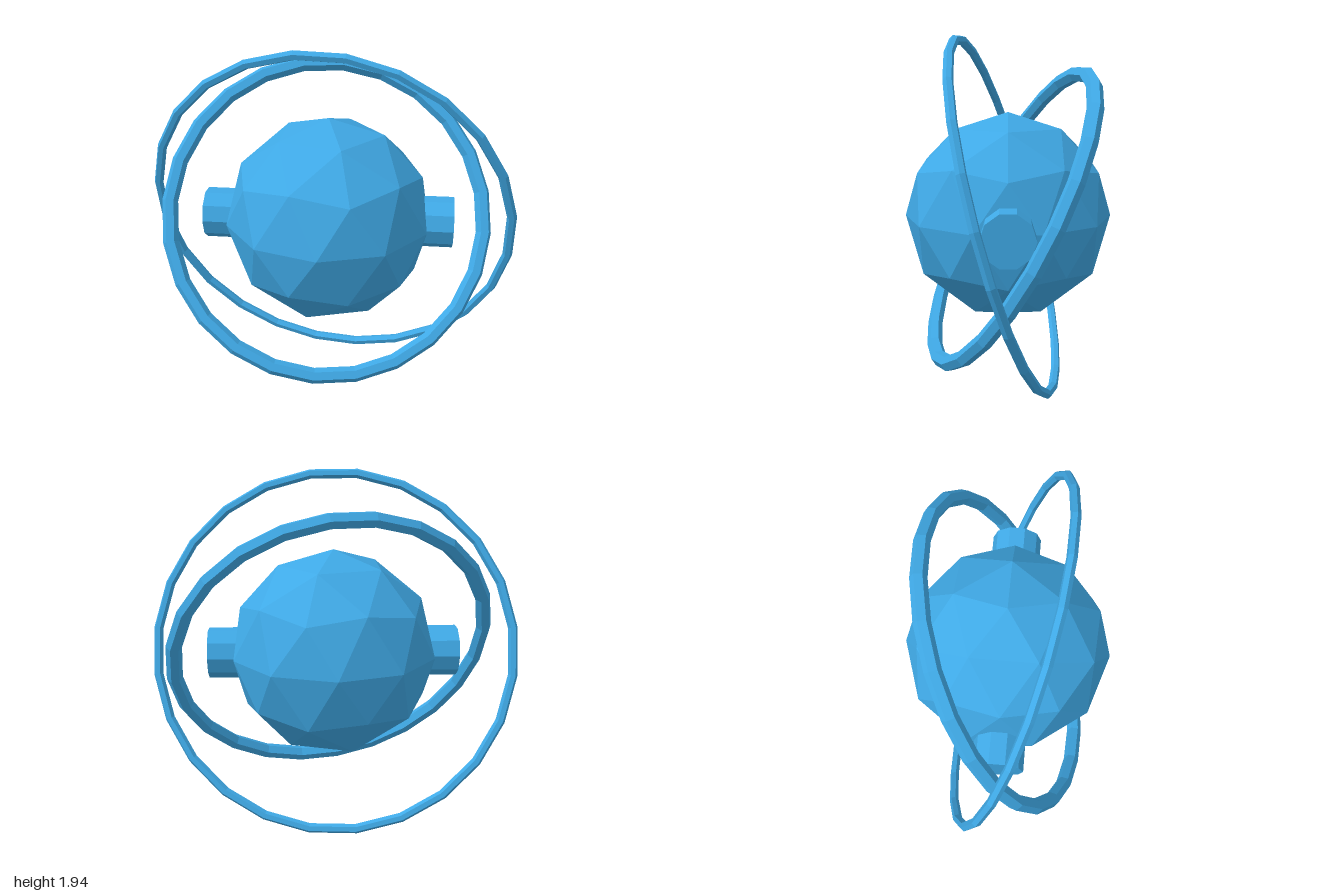
import * as THREE from 'three';

const CENTER_Y = 0.974;
const rad = THREE.MathUtils.degToRad;

export function createModel() {
  const group = new THREE.Group();
  const material = new THREE.MeshStandardMaterial({ color: 0x3fa9e6, flatShading: true });

  const add = (name, geometry) => {
    const mesh = new THREE.Mesh(geometry, material);
    mesh.name = name;
    mesh.position.y = CENTER_Y;
    group.add(mesh);
    return mesh;
  };

  // Faceted core, turned so one of its five-sided corners points straight up
  const golden = (1 + Math.sqrt(5)) / 2;
  add('core', new THREE.IcosahedronGeometry(0.565, 1).rotateZ(-Math.atan(1 / golden)));

  // Stub on each side of the core
  for (const [name, side] of [['leftStub', 1], ['rightStub', -1]]) {
    const stub = add(name, new THREE.CylinderGeometry(0.138, 0.138, 0.3, 10).rotateZ(Math.PI / 2));
    stub.position.x = side * 0.53;
  }

  // Two orbit rings, each leaned forward or back and then rolled
  const ring = (name, radius, tube, lean, roll) =>
    add(name, new THREE.TorusGeometry(radius, tube, 6, 24).rotateX(rad(lean)).rotateZ(rad(roll)));
  ring('innerRing', 0.872, 0.043, -30, -20);
  ring('outerRing', 0.989, 0.026, 17, -22.5);

  return group;
}
